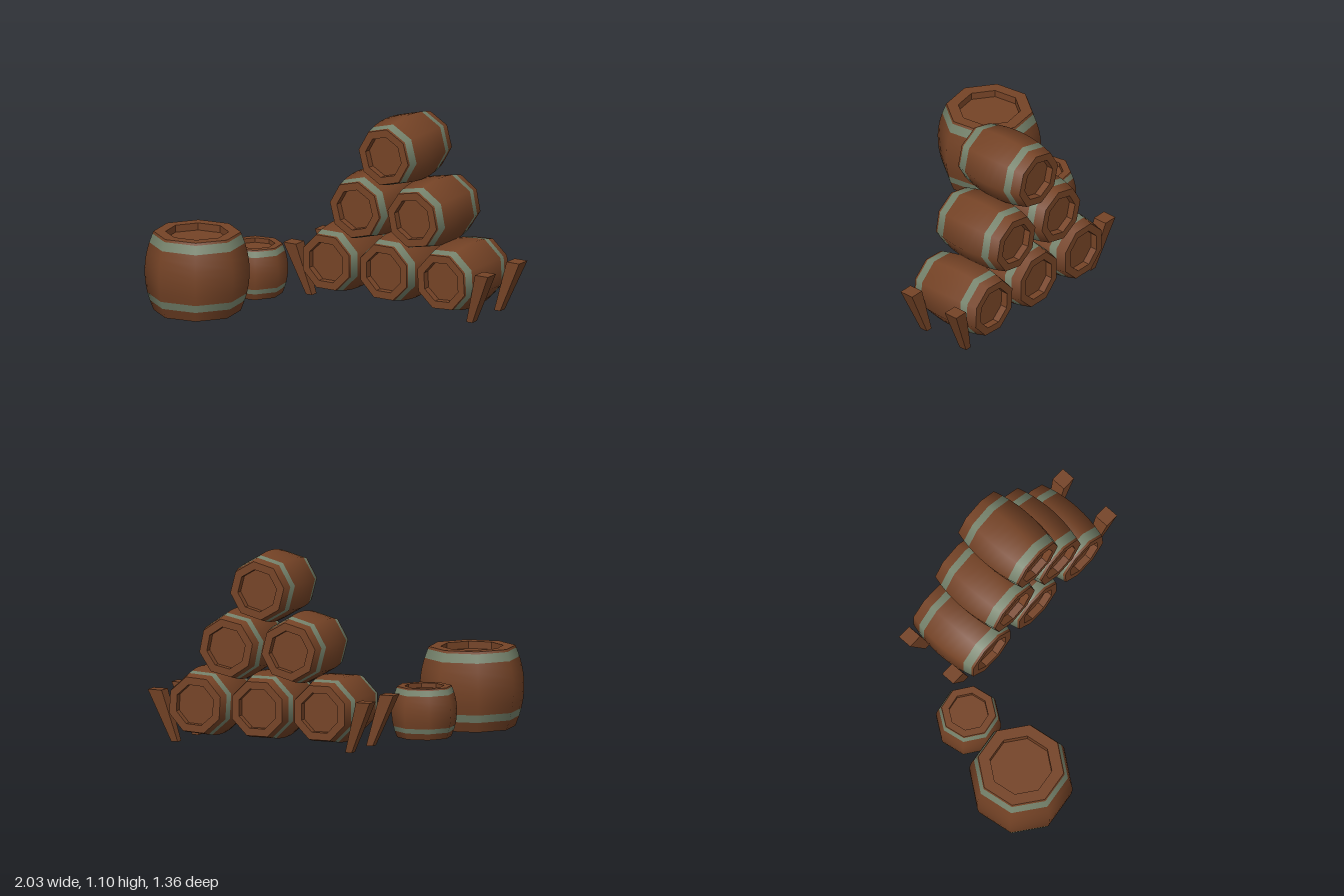
import * as THREE from 'three';

const wood = new THREE.MeshStandardMaterial({ color: 0x754326 });
wood.name = 'brown wood';
const hoopMetal = new THREE.MeshStandardMaterial({ color: 0x76836c });
hoopMetal.name = 'grey green metal';

const SIDES = 8;

function lathe(name, points, material, flat = false) {
  let geo = new THREE.LatheGeometry(points.map(([r, y]) => new THREE.Vector2(r, y)), SIDES);
  geo.rotateY(Math.PI / 8);
  if (flat) {
    geo = geo.toNonIndexed();
    geo.computeVertexNormals();
  }
  const mesh = new THREE.Mesh(geo, material);
  mesh.name = name;
  return mesh;
}

// Eight-sided barrel standing on its local y axis, centred at the origin
function barrel(name, radius, height) {
  const group = new THREE.Group();
  group.name = name;
  const bulge = (t) => radius * (1 - 0.17 * (2 * t - 1) ** 2);

  // Staves and hoops: sections between heights given as fractions
  const sections = [
    ['lowerStaves', 0, 0.125, wood],
    ['lowerHoop', 0.125, 0.22, hoopMetal],
    ['staves', 0.22, 0.86, wood],
    ['upperHoop', 0.86, 0.97, hoopMetal],
    ['upperStaves', 0.97, 1, wood],
  ];
  for (const [part, from, to, material] of sections) {
    const steps = to - from > 0.5 ? 6 : 1;
    const points = [];
    for (let i = 0; i <= steps; i++) {
      const t = from + ((to - from) * i) / steps;
      points.push([bulge(t), (t - 0.5) * height]);
    }
    group.add(lathe(part, points, material));
  }

  // Rims with recessed lids at both ends
  const end = bulge(0), hole = radius * 0.6, h = height / 2, lid = h - height * 0.09;
  group.add(lathe('topLid', [[end, h], [hole, h], [hole, lid], [0, lid]], wood, true));
  group.add(lathe('bottomLid', [[0, -lid], [hole, -lid], [hole, -h], [end, -h]], wood, true));
  return group;
}

// Tapered rack leg leaning inwards towards its foot
function rackLeg(sx, sz) {
  const geo = new THREE.BoxGeometry(1, 1, 1);
  const p = geo.attributes.position;
  for (let i = 0; i < p.count; i++) {
    const top = p.getY(i) > 0;
    const outerX = p.getX(i) * sx > 0;
    const outerZ = p.getZ(i) * sz > 0;
    const x = outerX ? (top ? 0.208 : 0.17) : 0.122;
    const z = top ? (outerZ ? 0.685 : 0.6) : (outerZ ? 0.557 : 0.517);
    p.setXYZ(i, sx * x, top ? 0.295 : 0, sz * z);
  }
  geo.computeVertexNormals();
  const mesh = new THREE.Mesh(geo, wood);
  mesh.name = 'rackLeg';
  return mesh;
}

export function createModel() {
  const model = new THREE.Group();
  model.name = 'barrelStack';

  // Upright barrels
  const large = barrel('largeBarrel', 0.297, 0.46);
  large.position.set(-0.725, 0.26, -0.19);
  large.rotation.y = -0.03;
  const small = barrel('smallBarrel', 0.187, 0.29);
  small.position.set(-0.287, 0.176, -0.395);
  model.add(large, small);

  // Pyramid of lying barrels, turned 35 degrees
  const pile = new THREE.Group();
  pile.name = 'barrelPile';
  pile.position.x = 0.4675;
  pile.rotation.y = THREE.MathUtils.degToRad(35);
  const rows = [
    { y: 0.225, roll: [0, 0, 0.06] },
    { y: 0.562, roll: [0.26, 0.2] },
    { y: 0.9, roll: [0.26] },
  ];
  for (const { y, roll } of rows) {
    roll.forEach((angle, i) => {
      const b = barrel('lyingBarrel', 0.201, 0.46);
      b.position.set(0, y, (i - (roll.length - 1) / 2) * 0.385);
      b.rotation.set(0, angle, Math.PI / 2, 'ZYX');
      pile.add(b);
    });
  }

  // Rack legs at the four corners
  for (const sx of [-1, 1]) for (const sz of [-1, 1]) pile.add(rackLeg(sx, sz));
  model.add(pile);
  return model;
}
